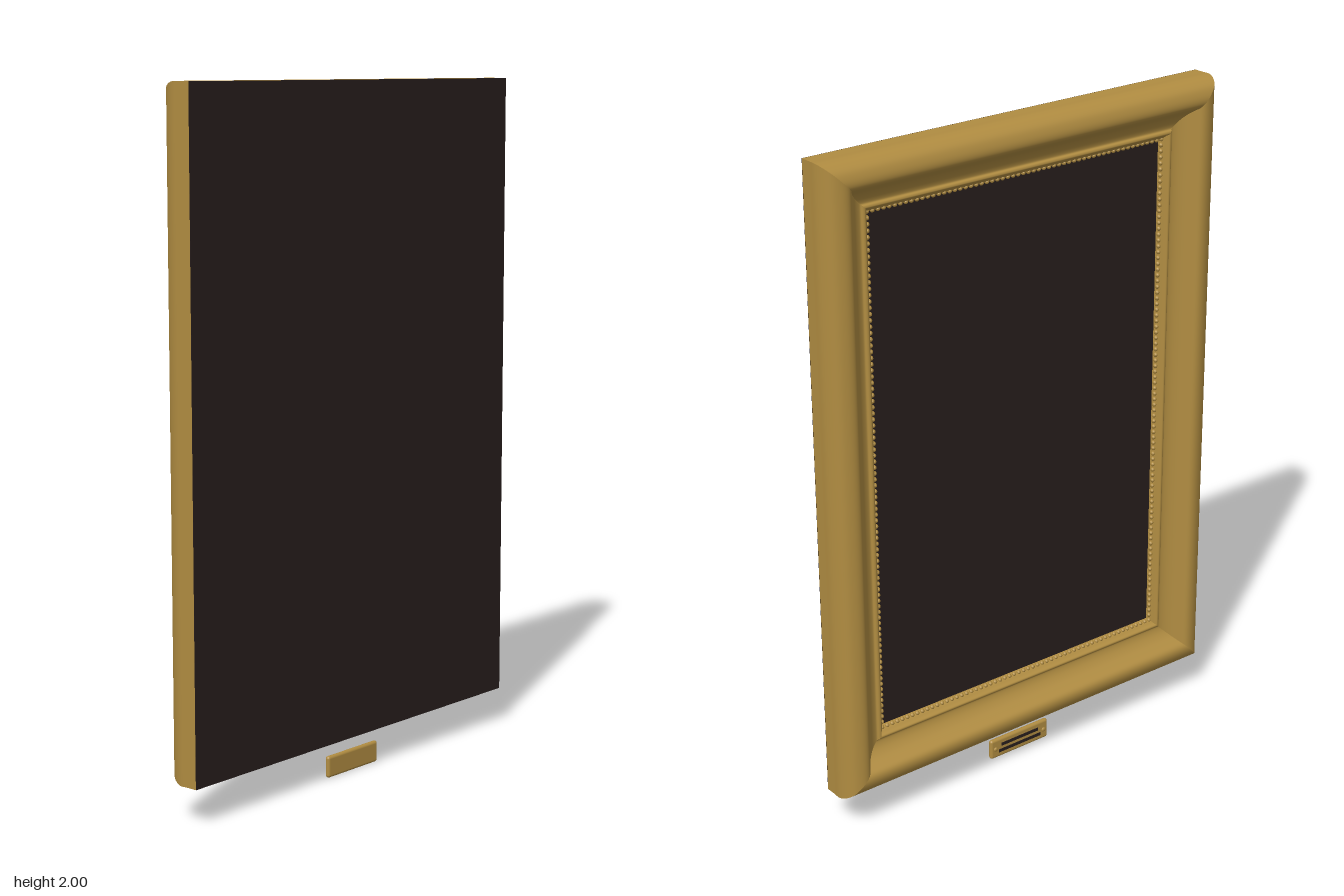
import * as THREE from 'three';
import { mergeGeometries } from 'three/addons/utils/BufferGeometryUtils.js';
import { RoundedBoxGeometry } from 'three/addons/geometries/RoundedBoxGeometry.js';

const W = 0.677, H = 0.945, CY = 1.055; // half width, half height, centre height of the frame
const CORNERS = [[-1, -1], [1, -1], [1, 1], [-1, 1]];

// Moulding section: distance in from the outer edge, z
const SECTION = [
  [0, 0.057], [0, 0.025], [0, -0.002], [0.008, -0.027], [0.022, -0.046], [0.042, -0.056], [0.06, -0.058],
  [0.074, -0.052], [0.086, -0.036], [0.1, -0.018], [0.118, -0.004], [0.136, 0.002],
  [0.142, -0.004], [0.149, -0.005], [0.155, 0.003], [0.163, 0.012], [0.171, 0.026],
];

// One mitred side of the frame, swept between two neighbouring corners
function mouldingSide(k, points) {
  const ends = [CORNERS[k], CORNERS[(k + 1) % 4]];
  const positions = [], index = [];
  points.forEach((p, i) => {
    for (const [sx, sy] of ends) positions.push(sx * (W - p.x), sy * (H - p.x), p.y);
    if (i > 0) {
      const a = 2 * (i - 1);
      index.push(a, a + 2, a + 1, a + 1, a + 2, a + 3);
    }
  });
  const geometry = new THREE.BufferGeometry();
  geometry.setAttribute('position', new THREE.Float32BufferAttribute(positions, 3));
  geometry.setIndex(index);
  geometry.computeVertexNormals();
  return geometry;
}

// Row of small beads around the sight edge
function beading(inset, z, radius, spacing) {
  const w = W - inset, h = H - inset, beads = [];
  CORNERS.forEach(([sx, sy], k) => {
    const [ex, ey] = CORNERS[(k + 1) % 4];
    const count = Math.round(2 * (sx === ex ? h : w) / spacing);
    for (let i = 0; i < count; i++) {
      const t = i / count;
      beads.push(new THREE.SphereGeometry(radius, 8, 6).translate(
        w * (sx + (ex - sx) * t), h * (sy + (ey - sy) * t), z));
    }
  });
  return mergeGeometries(beads);
}

export function createModel() {
  const gold = new THREE.MeshStandardMaterial({ color: 0xb08c41 });
  gold.name = 'gold';
  const dark = new THREE.MeshStandardMaterial({ color: 0x281e1d });
  dark.name = 'dark brown';

  const model = new THREE.Group();
  model.name = 'pictureFrame';
  const add = (parent, name, geometry, material, x = 0, y = 0, z = 0) => {
    const mesh = new THREE.Mesh(geometry, material);
    mesh.name = name;
    mesh.position.set(x, y, z);
    parent.add(mesh);
    return mesh;
  };

  // Frame with moulded sides
  const frame = new THREE.Group();
  frame.name = 'frame';
  frame.position.y = CY;
  model.add(frame);
  const curve = new THREE.SplineCurve(SECTION.map(([o, z]) => new THREE.Vector2(o, z)));
  const points = curve.getPoints(64);
  ['bottomMoulding', 'leftMoulding', 'topMoulding', 'rightMoulding'].forEach((name, k) =>
    add(frame, name, mouldingSide(k, points), gold));
  add(frame, 'beading', beading(0.165, 0.015, 0.007, 0.018), gold);

  // Picture and backing board
  add(frame, 'canvas', new THREE.BoxGeometry(2 * (W - 0.16), 2 * (H - 0.16), 0.006), dark, 0, 0, 0.026);
  add(frame, 'backingBoard', new THREE.BoxGeometry(2 * W, 2 * H, 0.001), dark, 0, 0, 0.0575);

  // Small plaque hanging below, facing the same way as the picture
  const plaque = new THREE.Group();
  plaque.name = 'plaque';
  plaque.position.set(0, 0.033, 0.029);
  model.add(plaque);
  add(plaque, 'plaquePlate', new RoundedBoxGeometry(0.22, 0.064, 0.016, 4, 0.008), gold);
  for (const [y, w] of [[0.01, 0.14], [-0.01, 0.16]]) {
    add(plaque, 'engravedLine', new THREE.BoxGeometry(w, 0.01, 0.002), dark, 0, y, -0.0085);
  }
  for (const side of [-1, 1]) {
    const screw = add(plaque, 'screw', new THREE.SphereGeometry(0.007, 12, 8), gold, side * 0.093, 0, -0.008);
    screw.scale.z = 0.6;
  }
  return model;
}
